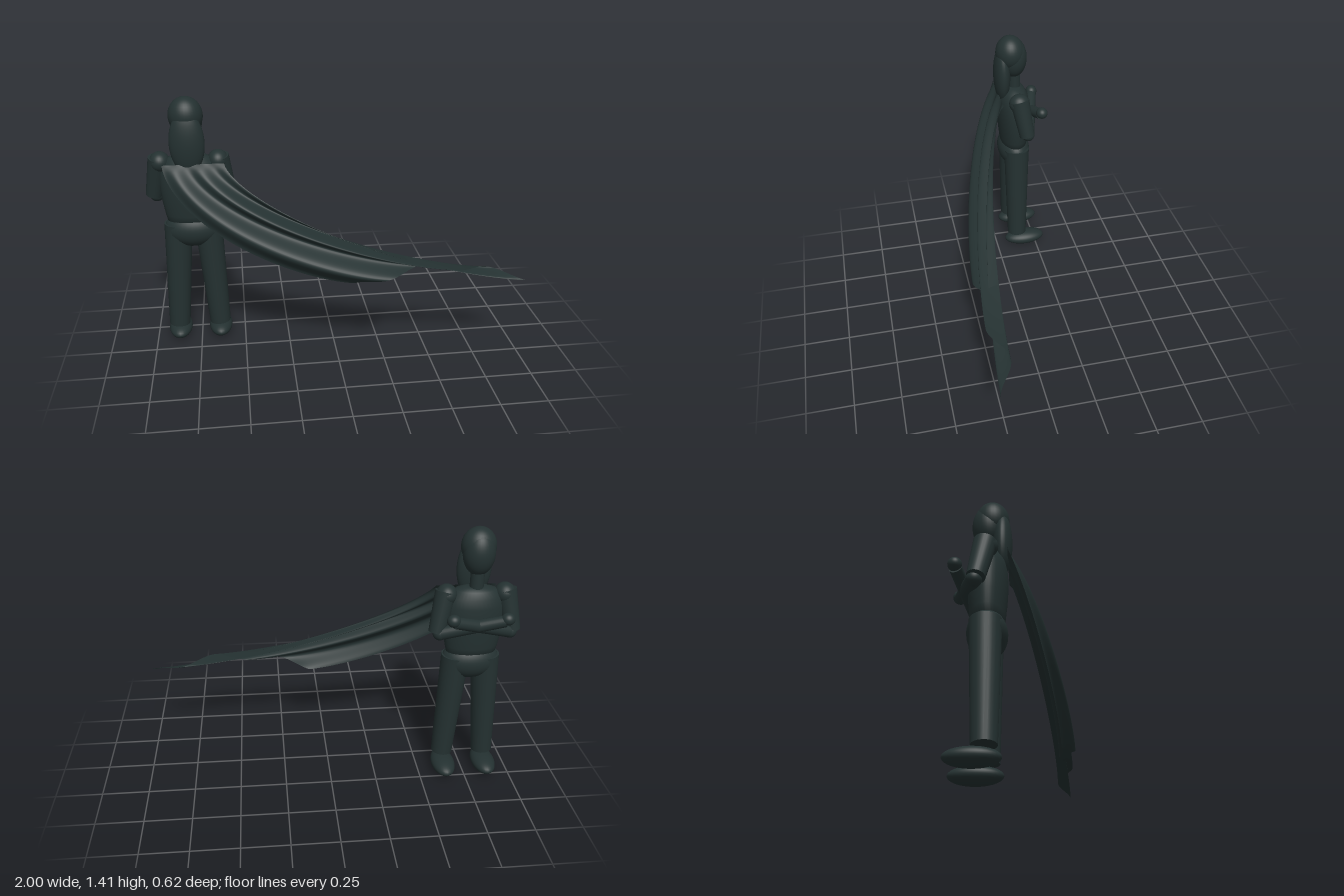
import * as THREE from 'three';

export function createModel() {
  const model = new THREE.Group();
  const slate = new THREE.MeshStandardMaterial({ color: 0x243131, side: THREE.DoubleSide });
  slate.name = 'darkSlate';

  const figure = new THREE.Group();
  figure.name = 'figure';
  figure.position.x = -0.755;
  model.add(figure);

  function add(name, geometry, parent = figure) {
    const mesh = new THREE.Mesh(geometry, slate);
    mesh.name = name;
    parent.add(mesh);
    return mesh;
  }
  function ellipsoid(name, x, y, z, rx, ry, rz) {
    const mesh = add(name, new THREE.SphereGeometry(1, 32, 20));
    mesh.position.set(x, y, z);
    mesh.scale.set(rx, ry, rz);
    return mesh;
  }
  // tapered cylinder between two points
  function limb(name, from, to, r0, r1) {
    const a = new THREE.Vector3(...from), b = new THREE.Vector3(...to);
    const dir = b.clone().sub(a);
    const mesh = add(name, new THREE.CylinderGeometry(r1, r0, dir.length(), 24));
    mesh.position.copy(a).add(b).multiplyScalar(0.5);
    mesh.quaternion.setFromUnitVectors(new THREE.Vector3(0, 1, 0), dir.normalize());
    return mesh;
  }

  // head, hair and neck
  ellipsoid('face', 0, 1.28, -0.137, 0.083, 0.118, 0.078);
  ellipsoid('hairCap', 0, 1.312, -0.118, 0.09, 0.1, 0.084);
  ellipsoid('longHair', 0, 1.178, -0.068, 0.092, 0.17, 0.048);
  limb('neck', [0, 1.06, -0.142], [0, 1.19, -0.142], 0.036, 0.036);

  // torso, flattened front to back
  const profile = [[0, 0.7], [0.125, 0.7], [0.142, 0.77], [0.155, 0.85], [0.162, 0.93],
    [0.158, 1.0], [0.143, 1.05], [0.11, 1.085], [0.06, 1.1], [0, 1.105]];
  const torso = add('torso', new THREE.LatheGeometry(profile.map(p => new THREE.Vector2(...p)), 40));
  torso.scale.z = 0.59;
  torso.position.z = -0.133;
  ellipsoid('pelvis', 0, 0.68, -0.133, 0.156, 0.104, 0.096);

  // paired limbs
  for (const s of [-1, 1]) {
    const side = s > 0 ? 'left' : 'right';
    limb(side + 'Leg', [s * 0.115, 0.097, -0.13], [s * 0.08, 0.71, -0.137], 0.058, 0.076);
    ellipsoid(side + 'Foot', s * 0.115, 0.044, -0.18, 0.065, 0.044, 0.126);
    ellipsoid(side + 'Shoulder', s * 0.153, 1.06, -0.14, 0.055, 0.056, 0.06);
    limb(side + 'UpperArm', [s * 0.2, 0.865, -0.176], [s * 0.157, 1.08, -0.14], 0.044, 0.056);
    // forearms crossed in front of the chest
    limb(side + 'Forearm', [s * 0.185, 0.862, -0.185], [-s * 0.13, 0.96, -0.275], 0.037, 0.031);
    ellipsoid(side + 'Elbow', s * 0.185, 0.862, -0.185, 0.038, 0.038, 0.038);
    ellipsoid(side + 'Hand', -s * 0.14, 0.972, -0.278, 0.036, 0.033, 0.034);
  }

  // windblown cape: a sheet sweeping sideways, its folds deepening to the hem
  const cape = new THREE.PlaneGeometry(1, 1, 60, 48);
  const pos = cape.attributes.position;
  for (let i = 0; i < pos.count; i++) {
    const u = pos.getX(i) + 0.5, v = 0.5 - pos.getY(i);
    const drop = 1 - Math.pow(1 - v, 1.35);
    const sweep = Math.pow(v, 1.6 - 0.2 * u);
    const topX = -0.89 + 0.32 * u, hemX = 0.085 + 0.915 * u;
    const hemY = 0.46 + 0.085 * Math.sin(Math.PI * u);
    const fold = 0.043 * Math.sqrt(v) * Math.cos(2 * Math.PI * (hemX - 0.255) / 0.373);
    pos.setXYZ(i,
      topX + (hemX - topX) * sweep,
      1.07 + (hemY - 1.07) * drop,
      -0.04 + 0.303 * Math.pow(drop, 0.92) + fold);
  }
  cape.computeVertexNormals();
  add('cape', cape, model);

  return model;
}
